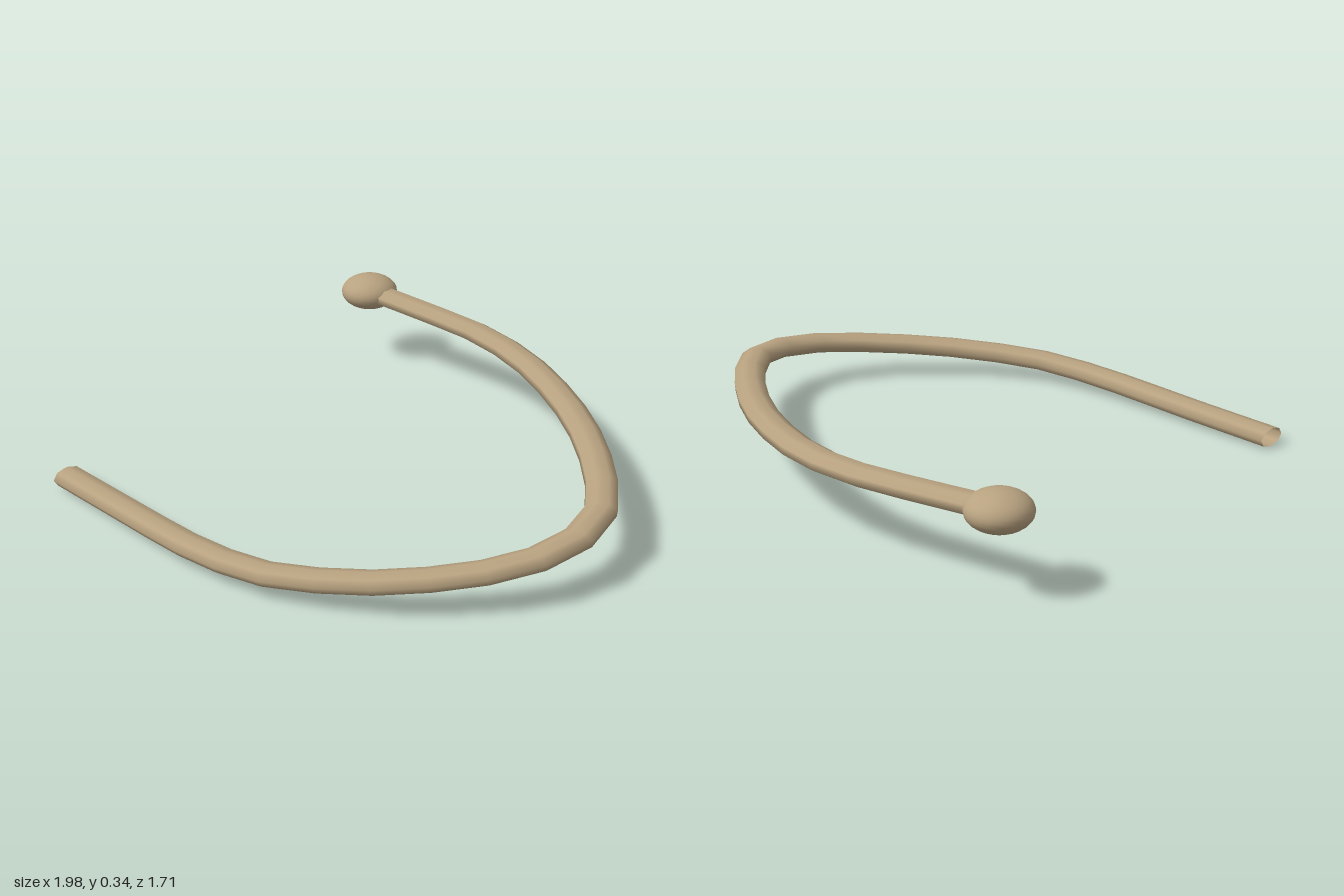
import * as THREE from 'three';

export function createModel() {
  const model = new THREE.Group();
  model.name = 'curvedRod';
  const material = new THREE.MeshStandardMaterial({ color: 0xb8a280, side: THREE.DoubleSide });
  const flat = 0.6; // the whole rod is flattened in height

  // Centre line, from the open front end round the left side to the knob
  const path = [
    [-0.705, 0.04, 0.8], [-0.35, 0.048, 0.795], [0.01, 0.06, 0.79], [0.19, 0.069, 0.77],
    [0.36, 0.08, 0.725], [0.65, 0.106, 0.525], [0.86, 0.137, 0.255], [0.92, 0.155, 0.11],
    [0.932, 0.172, -0.04], [0.88, 0.19, -0.205], [0.62, 0.207, -0.45], [0.31, 0.221, -0.64],
    [0, 0.237, -0.76], [-0.17, 0.246, -0.795], [-0.35, 0.256, -0.803], [-0.53, 0.264, -0.782],
    [-0.885, 0.28, -0.727],
  ].map(([x, y, z]) => new THREE.Vector3(x, y / flat, z));

  // Rod
  const curve = new THREE.CatmullRomCurve3(path);
  const rod = new THREE.Mesh(new THREE.TubeGeometry(curve, 24, 0.057, 8, false), material);
  rod.name = 'rod';
  rod.scale.y = flat;

  // Knob at the back end
  const knob = new THREE.Mesh(new THREE.SphereGeometry(0.108, 24, 16), material);
  knob.name = 'knob';
  knob.position.set(-0.89, 0.28, -0.727);
  knob.scale.y = flat;

  model.add(rod, knob);
  return model;
}
